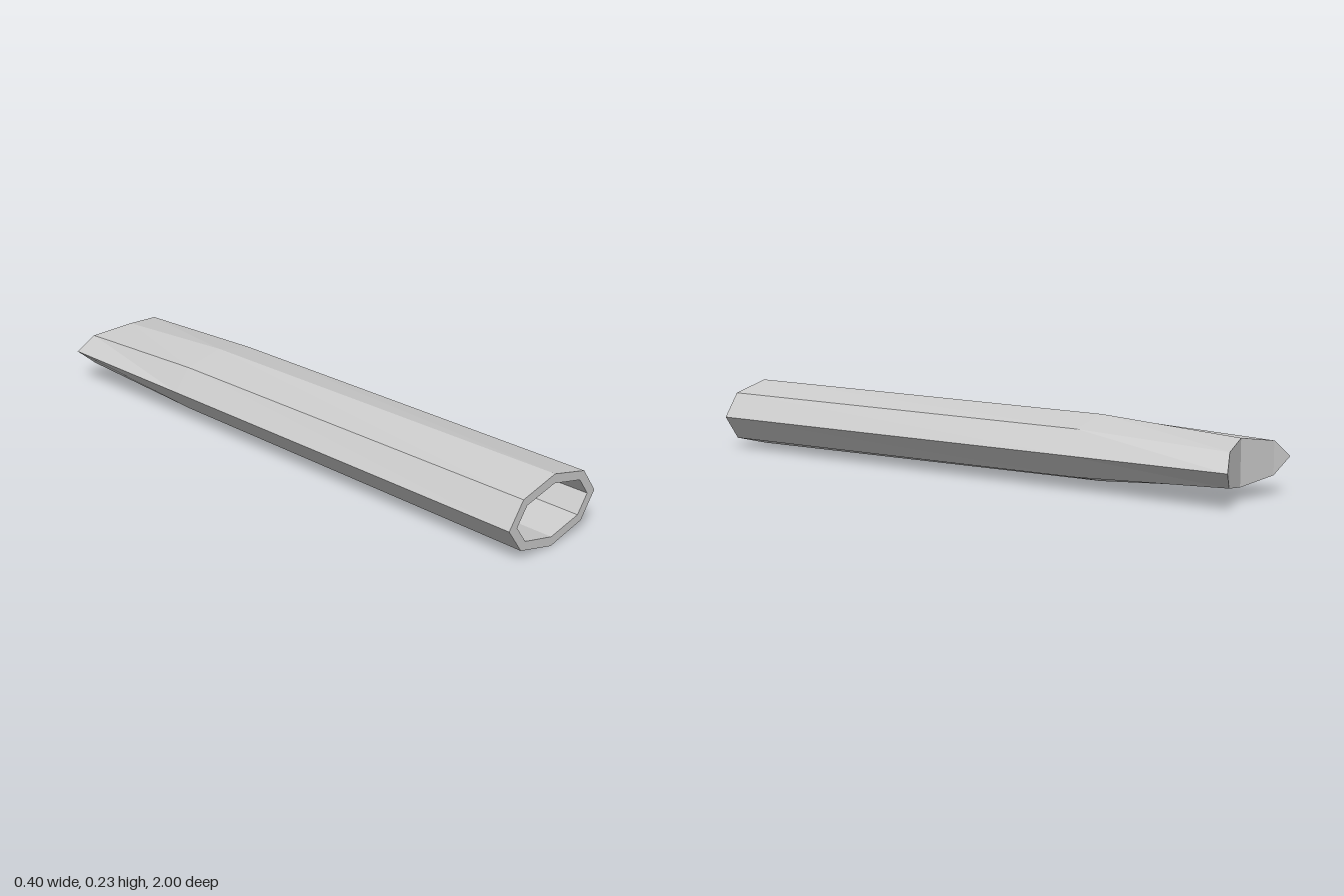
import * as THREE from 'three';

const MID = 0.117;

// Eight-sided section, counter-clockwise seen from the front.
// Each of tip, shoulder and crown is [x, half height, z].
function section(tip, shoulder, crown) {
  const [sx, sy, sz] = shoulder;
  return [
    [tip[0], 0, tip[2]], [sx, sy, sz], [0, crown[1], crown[2]], [-sx, sy, sz],
    [-tip[0], 0, tip[2]], [-sx, -sy, sz], [0, -crown[1], crown[2]], [sx, -sy, sz],
  ].map(([x, y, z]) => new THREE.Vector3(x, y + MID, z));
}

const flatSection = (z, w, sx, sy, h) => section([w, 0, z], [sx, sy, z], [0, h, z]);

function facetedMesh(name, points) {
  const geometry = new THREE.BufferGeometry().setFromPoints(points);
  geometry.computeVertexNormals();
  const mesh = new THREE.Mesh(geometry, new THREE.MeshStandardMaterial({
    color: 0xcccccc, flatShading: true, side: THREE.DoubleSide,
  }));
  mesh.name = name;
  return mesh;
}

// Joins successive sections with quads
function loft(name, rings) {
  const pts = [];
  for (let i = 0; i < rings.length - 1; i++) {
    const p = rings[i], q = rings[i + 1];
    for (let j = 0; j < 8; j++) {
      const k = (j + 1) % 8;
      pts.push(p[j], p[k], q[k], p[j], q[k], q[j]);
    }
  }
  return facetedMesh(name, pts);
}

const cap = (name, ring, order) => facetedMesh(name, order.map((i) => ring[i]));

export function createModel() {
  const group = new THREE.Group();
  group.name = 'hollowBar';

  const back = section([0.198, 0, -1], [0.14, 0.053, -0.975], [0, 0.074, -0.937]);
  const bend = flatSection(-0.45, 0.198, 0.14, 0.075, 0.106);
  const front = flatSection(1, 0.198, 0.14, 0.081, 0.116);
  const mouth = flatSection(1, 0.163, 0.122, 0.057, 0.086);
  const floor = flatSection(-0.45, 0.163, 0.122, 0.057, 0.086);

  group.add(
    loft('outerShell', [back, bend, front]),
    loft('frontRim', [front, mouth]),
    loft('boreWall', [mouth, floor]),
    cap('boreFloor', floor, [0, 1, 2, 0, 2, 3, 0, 3, 4, 0, 4, 5, 0, 5, 6, 0, 6, 7]),
    // Two slanted halves meeting in a shallow vertical valley
    cap('notchedBack', back, [2, 1, 7, 2, 7, 6, 1, 0, 7, 6, 5, 3, 6, 3, 2, 5, 4, 3]),
  );
  return group;
}
